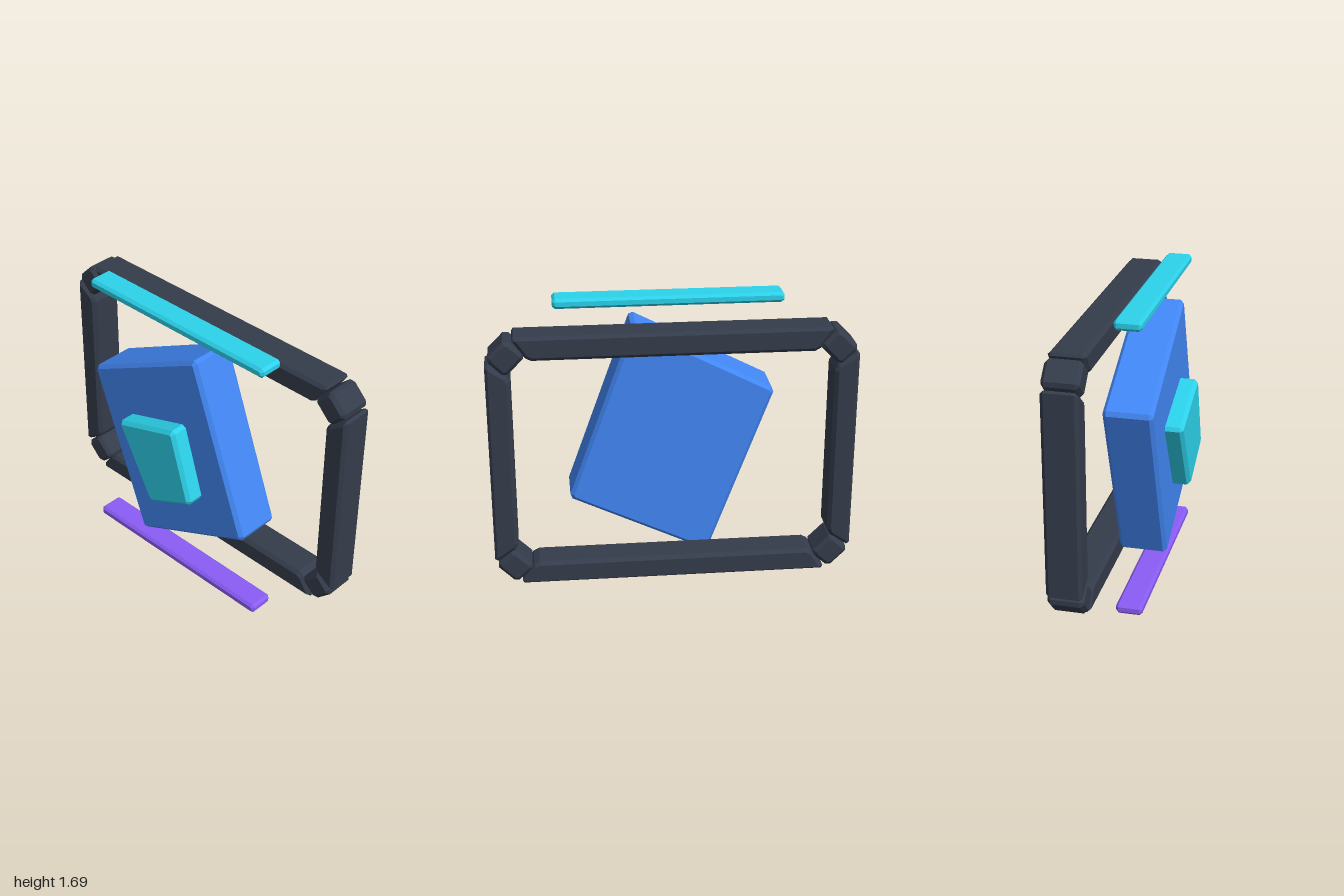
import * as THREE from 'three';

const paint = (color) => new THREE.MeshStandardMaterial({ color, flatShading: true });

// Cut every corner of a polygon back by c along both of its edges
function cutCorners(points, c) {
  const out = [];
  points.forEach(([x, y], i) => {
    const p = new THREE.Vector2(x, y);
    for (const step of [points.length - 1, 1]) {
      const q = new THREE.Vector2(...points[(i + step) % points.length]);
      out.push(p.clone().addScaledVector(q.sub(p).normalize(), c));
    }
  });
  return out;
}

// Prism from z0 to z1 with all edges and corners chamfered
function chamferedPrism(name, points, z0, z1, c, material) {
  const geometry = new THREE.ExtrudeGeometry(new THREE.Shape(cutCorners(points, c)), {
    depth: z1 - z0 - 2 * c,
    bevelEnabled: true, bevelSegments: 1,
    bevelThickness: c, bevelSize: c, bevelOffset: -c,
  });
  geometry.translate(0, 0, z0 + c);
  const mesh = new THREE.Mesh(geometry, material);
  mesh.name = name;
  return mesh;
}

export function createModel() {
  const model = new THREE.Group();
  const dark = paint(0x343c4b), blue = paint(0x4287f5);
  const cyan = paint(0x2cd2eb), purple = paint(0x8b5cf6);

  // Frame of mitred rails and diagonal corner blocks
  const frame = new THREE.Group();
  frame.name = 'frame';
  model.add(frame);
  const midY = 0.8475, back = -0.285, front = -0.085;
  const rail = (name, points) =>
    frame.add(chamferedPrism(name, points.map(([x, y]) => [x, y + midY]), back, front, 0.02, dark));

  for (const s of [1, -1]) {
    const end = s > 0 ? 'top' : 'bottom';
    const side = s > 0 ? 'left' : 'right';
    rail(end + 'Rail', [[-0.865, 0.727 * s], [-0.775, 0.595 * s], [0.775, 0.595 * s], [0.865, 0.727 * s]]);
    rail(side + 'Rail', [[s, -0.59], [s, 0.59], [0.868 * s, 0.5], [0.868 * s, -0.5]]);
    for (const t of [1, -1]) {
      rail(end + (t > 0 ? 'Left' : 'Right') + 'Corner', [
        [0.995 * t, 0.608 * s], [0.885 * t, 0.718 * s],
        [0.78 * t, 0.623 * s], [0.895 * t, 0.508 * s],
      ]);
    }
  }

  // Tilted slab in front of the frame
  model.add(chamferedPrism('slab',
    [[0.205, 1.56], [-0.58, 1.157], [-0.21, 0.168], [0.574, 0.543]], -0.085, 0.187, 0.02, blue));

  // Raised tapered inset, set into the slab
  model.add(chamferedPrism('inset',
    [[0.14, 1.12], [-0.29, 0.975], [-0.047, 0.525], [0.27, 0.68]], 0.12, 0.287, 0.02, cyan));

  // Floating bars above and below
  const bar = (name, y0, y1, material) => model.add(chamferedPrism(name,
    [[-0.632, y0], [0.632, y0], [0.632, y1], [-0.632, y1]], -0.005, 0.143, 0.015, material));
  bar('upperBar', 1.632, 1.688, cyan);
  bar('lowerBar', 0, 0.057, purple);

  return model;
}
